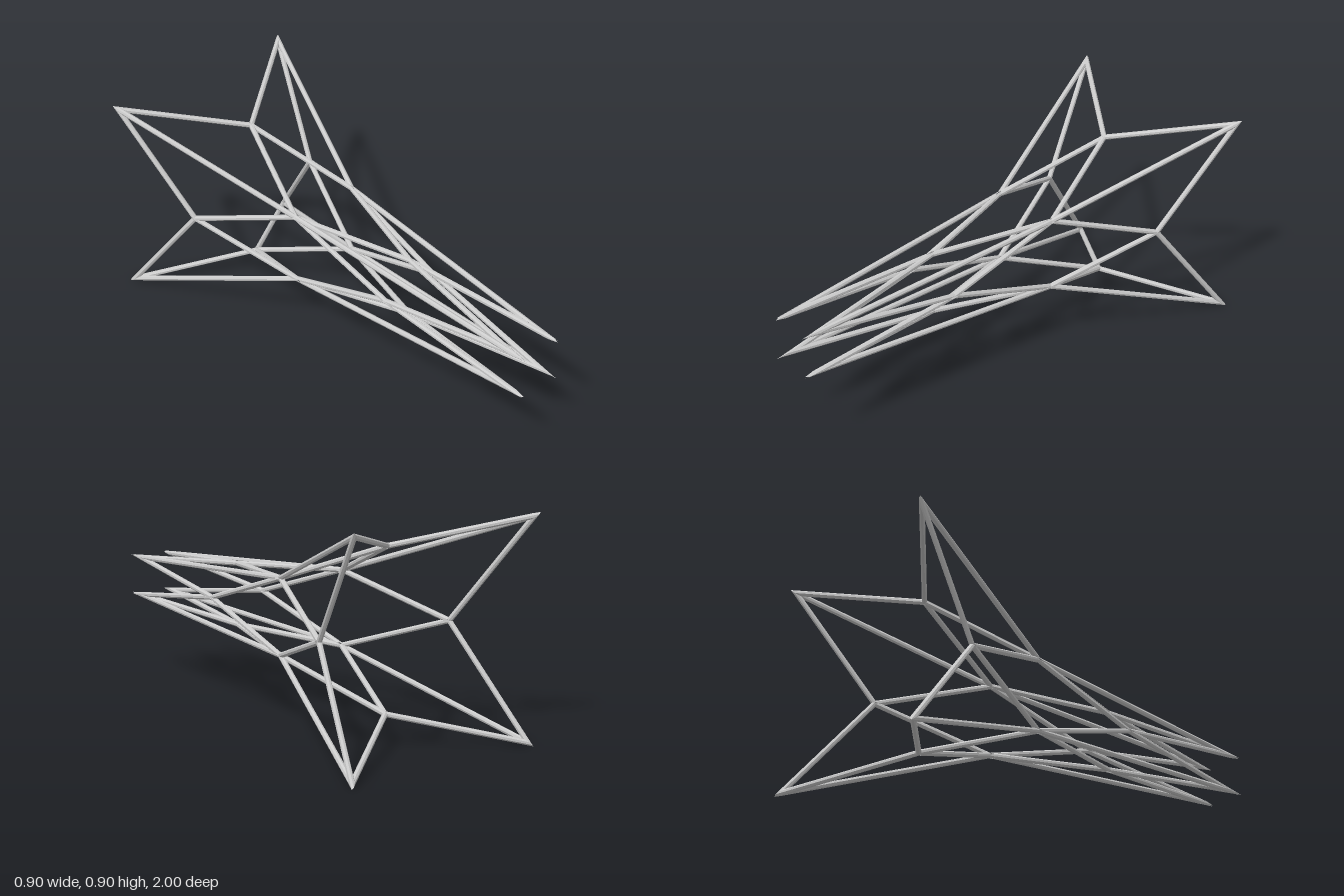
import * as THREE from 'three';
import { mergeGeometries } from 'three/addons/utils/BufferGeometryUtils.js';

const SIDES = 8, RADIUS = 0.0112;

// Four nodes in a ring around the z axis, starting at the given angle
function ring(radius, z, start) {
  return [0, 1, 2, 3].map((k) => {
    const a = start + (k * Math.PI) / 2;
    return new THREE.Vector3(Math.cos(a) * radius, Math.sin(a) * radius, z);
  });
}

// End of a rod: each corner slides along the axis to the mitre with the nearest neighbouring rod
function mitredEnd(node, other, offsets, links) {
  const d = other.clone().sub(node).normalize();
  const neighbours = links.get(node).filter((n) => n !== other).map((n) => n.clone().sub(node).normalize());
  return offsets.map((u) => {
    const t = Math.max(...neighbours.map((n) => u.dot(n) / (1 - d.dot(n))));
    return node.clone().add(u).addScaledVector(d, t);
  });
}

// Straight faceted rod between two nodes
function rod(a, b, links) {
  const d = b.clone().sub(a).normalize();
  const e1 = a.clone().add(b).setZ(0);
  e1.addScaledVector(d, -e1.dot(d)).normalize();
  const e2 = d.clone().cross(e1);
  const offsets = Array.from({ length: SIDES }, (_, i) => {
    const t = (i / SIDES) * Math.PI * 2;
    return e1.clone().multiplyScalar(Math.cos(t) * RADIUS).addScaledVector(e2, Math.sin(t) * RADIUS);
  });
  const pts = [...mitredEnd(a, b, offsets, links), ...mitredEnd(b, a, offsets, links)];
  const index = [];
  for (let i = 0; i < SIDES; i++) {
    const j = (i + 1) % SIDES;
    index.push(i, j, j + SIDES, i, j + SIDES, i + SIDES);
  }
  const indexed = new THREE.BufferGeometry().setFromPoints(pts);
  indexed.setIndex(index);
  const geo = indexed.toNonIndexed();
  geo.computeVertexNormals();
  return geo;
}

export function createModel() {
  const steel = new THREE.MeshStandardMaterial({ color: 0xcccccc, side: THREE.DoubleSide });
  steel.name = 'light steel grey';

  // Node rings from back to front
  const Q = Math.PI / 4, D = Math.SQRT2;
  const backTips = ring(0.435 * D, -0.981, Q);
  const backJoints = ring(0.323, -0.654, 0);
  const waist = ring(0.155 * D, -0.202, Q);
  const frontJoints = ring(0.131, 0.301, 0);
  const frontTips = ring(0.085 * D, 0.9245, Q);

  // Diagonal nodes join the two axis nodes beside them
  const zigzag = (diag, axis) => diag.flatMap((n, k) => [[n, axis[k]], [n, axis[(k + 1) % 4]]]);
  const straight = (p, q) => p.map((n, k) => [n, q[k]]);
  const families = {
    backStarRim: zigzag(backTips, backJoints),
    backDiamonds: zigzag(waist, backJoints),
    backSpines: straight(backTips, waist),
    frontDiamonds: zigzag(waist, frontJoints),
    frontSpines: straight(waist, frontTips),
    frontStarRim: zigzag(frontTips, frontJoints),
  };

  // Which nodes each node is joined to
  const links = new Map();
  const link = (p, q) => links.set(p, [...(links.get(p) || []), q]);
  Object.values(families).flat().forEach(([p, q]) => { link(p, q); link(q, p); });

  const model = new THREE.Group();
  model.name = 'starLattice';
  for (const [name, rods] of Object.entries(families)) {
    const mesh = new THREE.Mesh(mergeGeometries(rods.map(([p, q]) => rod(p, q, links))), steel);
    mesh.name = name;
    mesh.position.y = 0.45;
    model.add(mesh);
  }
  return model;
}
